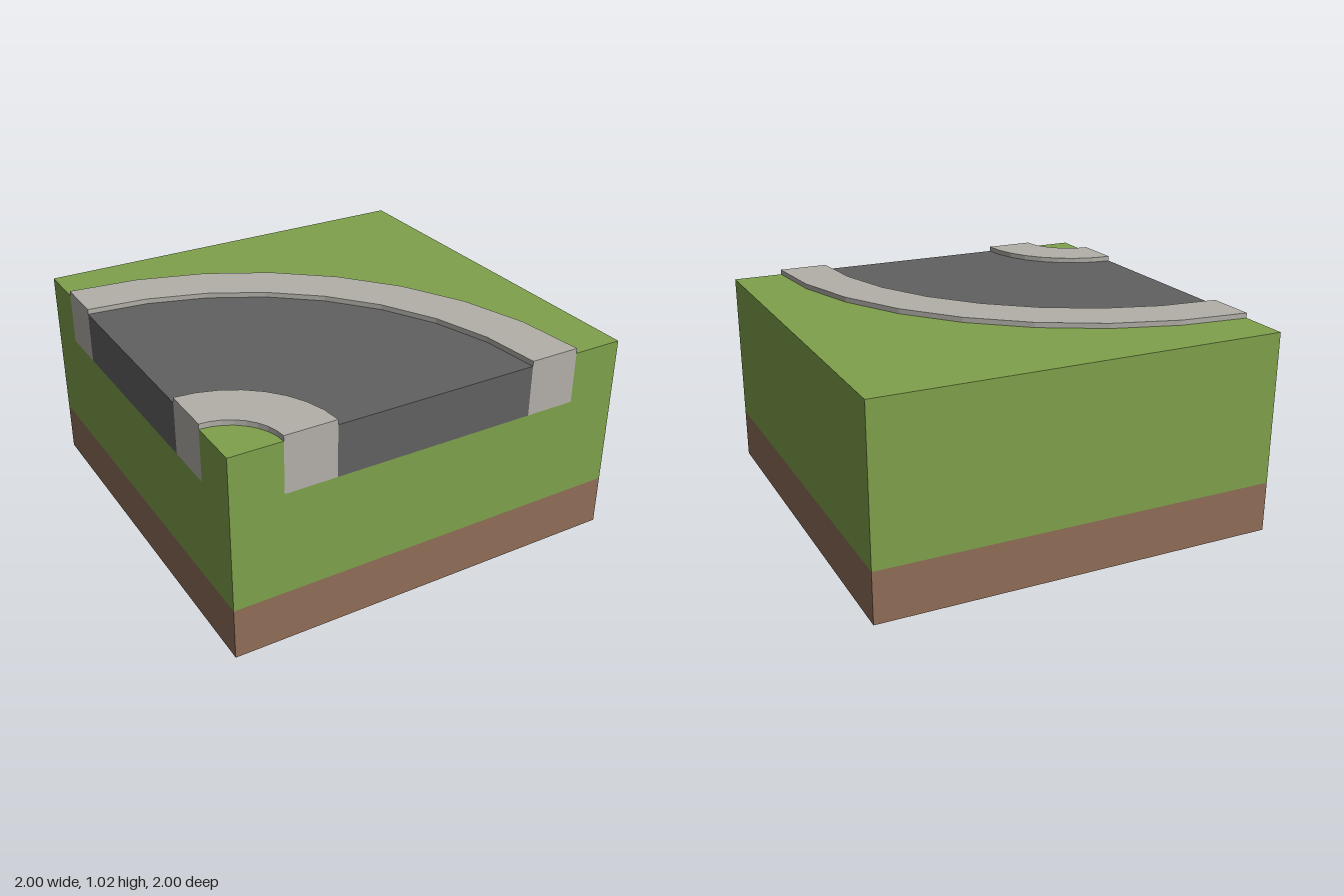
import * as THREE from 'three';

const SEGMENTS = 8;      // facets per quarter turn
const TOP = 1;           // ground height
const CURB_TOP = 1.025;  // raised pavement height
const CUT = 0.75;        // depth to which road and curb show on the open ends

function makeMaterial(name, color) {
  const m = new THREE.MeshStandardMaterial({ color, side: THREE.DoubleSide, flatShading: true });
  m.name = name;
  return m;
}

// Points of a quarter arc about the bend's centre corner, in plan (x, -z)
function arc(r) {
  return Array.from({ length: SEGMENTS + 1 }, (_, i) => {
    const a = (i / SEGMENTS) * Math.PI / 2;
    return new THREE.Vector2(-1 + r * Math.cos(a), -1 + r * Math.sin(a));
  });
}

// Horizontal sheet from a plan outline
function sheet(name, points, y, material) {
  const geometry = new THREE.ShapeGeometry(new THREE.Shape(points));
  geometry.rotateX(-Math.PI / 2).translate(0, y, 0);
  const mesh = new THREE.Mesh(geometry, material);
  mesh.name = name;
  return mesh;
}

// Vertical panel lying in the plane z = 1
function panel(name, corners, material) {
  const shape = new THREE.Shape(corners.map(([x, y]) => new THREE.Vector2(x, y)));
  const mesh = new THREE.Mesh(new THREE.ShapeGeometry(shape).translate(0, 0, 1), material);
  mesh.name = name;
  return mesh;
}

const rect = (x0, x1, y0, y1) => [[x0, y0], [x1, y0], [x1, y1], [x0, y1]];

export function createModel() {
  const grass = makeMaterial('grass', 0x7fa14b);
  const soil = makeMaterial('soil', 0x8f6e57);
  const stone = makeMaterial('curb stone', 0xb3b0a9);
  const asphalt = makeMaterial('asphalt', 0x616161);
  const model = new THREE.Group();
  model.name = 'roadBendTile';

  // Ground and road surface
  const v = (x, y) => new THREE.Vector2(x, y);
  model.add(
    sheet('outerGrass', [...arc(1.75), v(-1, 1), v(1, 1), v(1, -1)], TOP, grass),
    sheet('innerGrass', [v(-1, -1), ...arc(0.25)], TOP, grass),
    sheet('road', [...arc(1.5), ...arc(0.5).reverse()], TOP, asphalt),
  );

  // Raised curbs: flat top plus the two low curved faces
  for (const [name, r0, r1] of [['innerCurb', 0.25, 0.5], ['outerCurb', 1.5, 1.75]]) {
    const curb = new THREE.Group();
    curb.name = name;
    curb.add(sheet(name + 'Top', [...arc(r1), ...arc(r0).reverse()], CURB_TOP, stone));
    for (const r of [r0, r1]) {
      const h = CURB_TOP - TOP;
      const geometry = new THREE.CylinderGeometry(r, r, h, SEGMENTS, 1, true, Math.PI / 2, Math.PI / 2);
      const face = new THREE.Mesh(geometry.translate(-1, TOP + h / 2, 1), stone);
      face.name = name + 'Face';
      curb.add(face);
    }
    model.add(curb);
  }

  // Four walls, open underneath; the road leaves through the front and the -x side
  ['front', 'plusX', 'back', 'minusX'].forEach((side, i) => {
    const wall = new THREE.Group();
    wall.name = side + 'Wall';
    wall.rotation.y = i * Math.PI / 2;
    wall.add(panel('soilBand', rect(-1, 1, 0, 0.25), soil));
    if (side === 'front' || side === 'minusX') {
      wall.add(
        panel('grassBand', [[-1, 0.25], [1, 0.25], [1, TOP], [0.75, TOP],
          [0.75, CUT], [-0.75, CUT], [-0.75, TOP], [-1, TOP]], grass),
        panel('roadEnd', rect(-0.5, 0.5, CUT, TOP), asphalt),
        panel('curbEnd', rect(-0.75, -0.5, CUT, CURB_TOP), stone),
        panel('curbEnd', rect(0.5, 0.75, CUT, CURB_TOP), stone),
      );
    } else {
      wall.add(panel('grassBand', rect(-1, 1, 0.25, TOP), grass));
    }
    model.add(wall);
  });

  return model;
}
